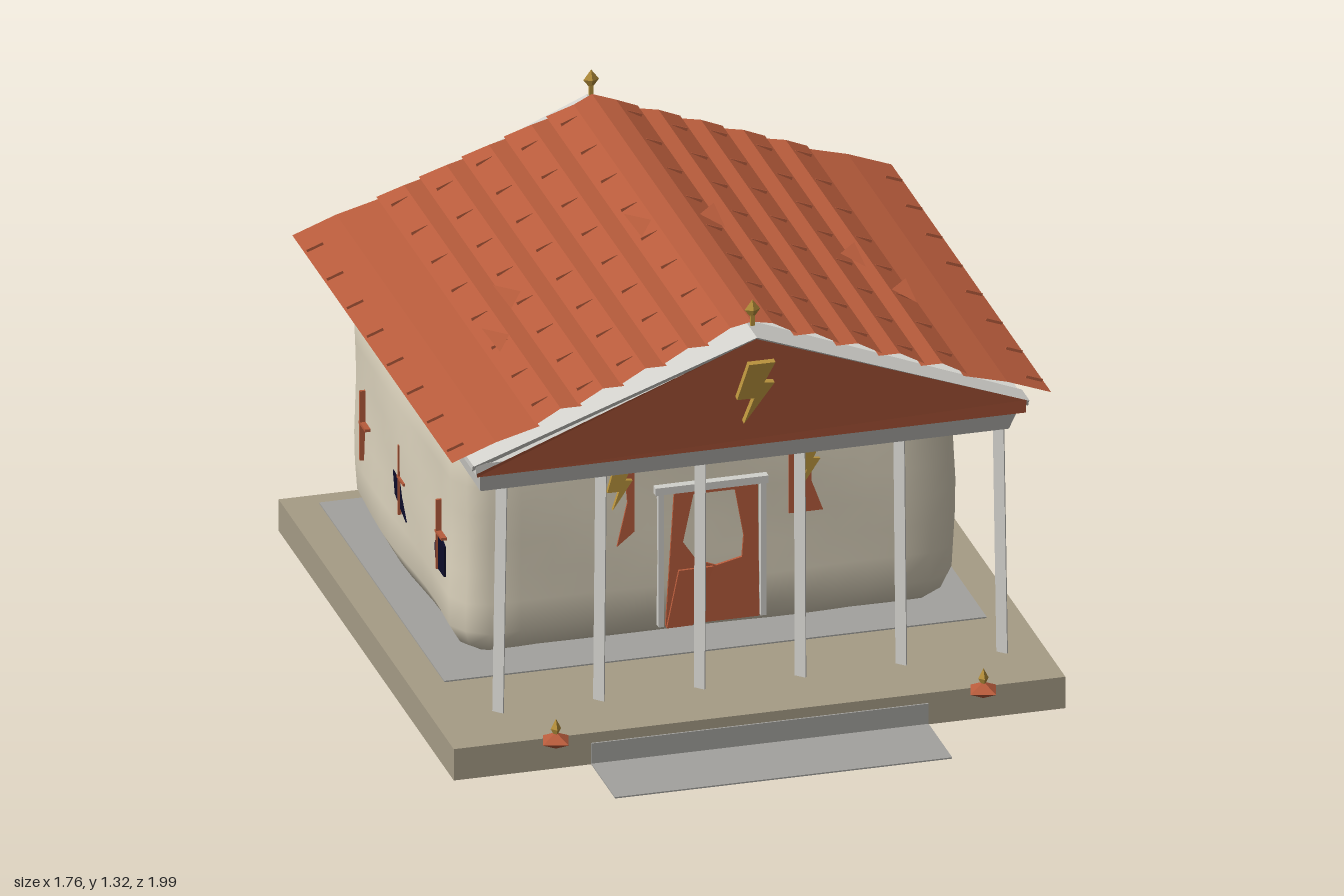
import * as THREE from 'three';
import { mergeVertices } from 'three/addons/utils/BufferGeometryUtils.js';

const mat = (name, color, double = true) => {
  const m = new THREE.MeshStandardMaterial({ color });
  m.name = name;
  if (double) m.side = THREE.DoubleSide;
  return m;
};

export function createModel() {
  const model = new THREE.Group();
  model.name = 'temple';
  const stone = mat('tan stone', 0xa69c86, false);
  const plaster = mat('cream plaster', 0xdcd3bd, false);
  const marble = mat('pale grey marble', 0xd2d1cc);
  const paving = mat('grey paving', 0xa3a29e);
  const terracotta = mat('terracotta', 0xb85c3c);
  const gold = mat('gold', 0xb8923c);
  const navy = mat('navy glass', 0x0c0c2a);
  terracotta.flatShading = gold.flatShading = marble.flatShading = true;

  const add = (name, geo, material, x = 0, y = 0, z = 0, parent = model) => {
    const m = new THREE.Mesh(geo, material);
    m.name = name;
    m.position.set(x, y, z);
    parent.add(m);
    return m;
  };
  const box = (name, material, x0, x1, y0, y1, z0, z1, parent = model) =>
    add(name, new THREE.BoxGeometry(x1 - x0, y1 - y0, z1 - z0), material,
      (x0 + x1) / 2, (y0 + y1) / 2, (z0 + z1) / 2, parent);
  // Flat outline cut from a thin plate
  const plate = (pts, depth, hole) => {
    const s = new THREE.Shape(pts.map(p => new THREE.Vector2(...p)));
    if (hole) s.holes.push(new THREE.Path(hole.map(p => new THREE.Vector2(...p))));
    return new THREE.ExtrudeGeometry(s, { depth, bevelEnabled: false });
  };
  // Convex sheet through a few 3D corners
  const sheet = (pts) => {
    const g = new THREE.BufferGeometry();
    g.setAttribute('position', new THREE.Float32BufferAttribute(pts.flat(), 3));
    const idx = [];
    for (let i = 1; i < pts.length - 1; i++) idx.push(0, i, i + 1);
    g.setIndex(idx);
    g.computeVertexNormals();
    return g;
  };

  // Platform, paving and front step
  box('platform', stone, -0.88, 0.88, 0, 0.095, -0.99, 0.76);
  box('paving', paving, -0.78, 0.78, 0.095, 0.099, -0.93, 0.32);
  box('stepTread', paving, -0.485, 0.485, 0, 0.004, 0.72, 1.0);
  box('stepRiser', paving, -0.485, 0.485, 0, 0.065, 0.76, 0.765);

  // Softly rounded, slightly uneven wall block
  const half = [0.725, 0.355, 0.57], r = 0.11;
  let walls = new THREE.BoxGeometry(1.45, 0.71, 1.14, 16, 8, 12);
  walls.deleteAttribute('uv');
  walls.deleteAttribute('normal');
  walls = mergeVertices(walls);
  const wp = walls.attributes.position;
  const v = new THREE.Vector3(), core = new THREE.Vector3();
  for (let i = 0; i < wp.count; i++) {
    v.fromBufferAttribute(wp, i);
    core.set(...v.toArray().map((c, k) => THREE.MathUtils.clamp(c, r - half[k], half[k] - r)));
    const wobble = 0.008 * Math.sin(v.x * 7 + v.y * 9) * Math.sin(v.z * 8 + v.y * 5 + 1);
    v.sub(core).normalize().multiplyScalar(r + wobble).add(core);
    wp.setXYZ(i, v.x, v.y, v.z);
  }
  walls.computeVertexNormals();
  add('walls', walls, plaster, 0, 0.465, -0.3);

  // Row of slender flat columns, turned diagonally
  for (let i = 0; i < 6; i++) {
    const x = -0.697 + i * 0.288;
    const c = add('column', new THREE.BoxGeometry(0.034, 0.69, 0.005), marble, x, 0.455, 0.585);
    c.rotation.set(0, -Math.PI / 4, (i - 2.5) * 0.006, 'ZYX');
  }

  // Entablature, its underside rising towards the back
  const beam = new THREE.BoxGeometry(1.56, 0.105, 1.55);
  const bp = beam.attributes.position;
  for (let i = 0; i < bp.count; i++) {
    if (bp.getY(i) < 0) {
      bp.setX(i, bp.getX(i) * 0.975);
      if (bp.getZ(i) < 0) bp.setY(i, bp.getY(i) + 0.03);
      else bp.setZ(i, bp.getZ(i) - 0.06);
    }
  }
  add('entablature', beam, marble, 0, 0.85, -0.105);
  box('cornice', marble, -0.79, 0.79, 0.875, 0.908, -0.9, 0.67);

  // Lightning bolt outline, unit height
  const bolt = [[-0.12, 0.5], [0.28, 0.5], [0.12, 0.17], [0.28, 0.15], [-0.16, -0.5],
    [-0.02, -0.08], [-0.28, -0.08]];
  const boltGeo = (h, depth) => {
    const g = plate(bolt, depth / h);
    g.translate(0, 0, -depth / h / 2);
    return g.scale(h, h, h);
  };

  // Outward-leaning gables with raking trim, bolt and ridge ornament
  for (const back of [0, 1]) {
    const gable = new THREE.Group();
    gable.name = back ? 'backGable' : 'frontGable';
    gable.position.z = -0.1175;
    gable.rotation.y = back * Math.PI;
    model.add(gable);
    add('pediment', sheet([[-0.79, 0.872, 0.795], [0.79, 0.872, 0.795], [0.79, 0.912, 0.8],
      [0, 1.215, 0.845], [-0.79, 0.885, 0.8]]), terracotta, 0, 0, 0, gable);
    for (const s of [-1, 1]) {
      add('rakingTrim', sheet([[s * 0.8, 0.908, 0.8], [0, 1.222, 0.852], [0, 1.222, 0.72],
        [s * 0.8, 0.908, 0.72]]), marble, 0, 0, 0, gable);
      add('rakingSoffit', sheet([[s * 0.8, 0.908, 0.8], [0, 1.222, 0.852], [0, 1.2, 0.835],
        [s * 0.8, 0.886, 0.79]]), marble, 0, 0, -0.008, gable);
    }
    add('gableBolt', boltGeo(0.19, 0.03), gold, 0, 1.05, 0.825, gable).rotation.x = 0.14;
    const orn = add('ridgeOrnament', new THREE.OctahedronGeometry(0.03), gold, 0, 1.288, 0.805, gable);
    orn.scale.set(0.75, 1, 0.45);
    box('ornamentStem', gold, -0.006, 0.006, 1.24, 1.27, 0.8, 0.81, gable);
  }

  // Roof: folded, overlapping strips running front to back on each slope
  const slopeY = (x) => 1.247 - 0.375 * x;
  const edges = [0, 0.122, 0.244, 0.366, 0.488, 0.61, 0.862];
  for (const s of [-1, 1]) {
    const side = new THREE.Group();
    side.name = s < 0 ? 'rightRoof' : 'leftRoof';
    model.add(side);
    for (let i = 0; i < 6; i++) {
      const a = edges[i], b = edges[i + 1], m = a + (b - a) * 0.5;
      const flat = i === 5;
      const prof = [[a, slopeY(a) - (i ? 0.012 : 0)], [m, slopeY(m) + (flat ? 0.002 : 0.011)],
        [b + (flat ? 0 : 0.01), slopeY(b) + (flat ? 0.002 : -0.006)]];
      for (let k = 0; k < 2; k++) {
        const [p, q] = [prof[k], prof[k + 1]];
        const zb = -0.915, notch = flat ? 0 : 0.03;
        add('roofStrip', sheet([[s * p[0], p[1], 0.68], [s * q[0], q[1], 0.68],
          [s * q[0], q[1], zb + (k ? 0 : notch)], [s * p[0], p[1], zb + (k ? notch : 0)]]),
        terracotta, 0, 0, 0, side);
      }
      // Short cross seams along each fold
      for (let j = 0; j < 8; j++) {
        const seam = add('roofSeam', new THREE.BoxGeometry(0.05, 0.014, 0.004), terracotta,
          s * (b - 0.03), slopeY(b - 0.03) + 0.003, 0.58 - j * 0.2 + (i % 2) * 0.03, side);
        seam.rotation.z = -s * 0.36;
      }
    }
    // Lifted tile fragments
    for (const [x, z] of [[0.07, -0.05], [0.46, 0.0], [0.55, 0.2]]) {
      const y = slopeY(x) + 0.015;
      add('liftedTile', sheet([[s * x, y, z - 0.03], [s * (x + 0.06), y - 0.004, z - 0.1],
        [s * (x + 0.05), y - 0.012, z + 0.05]]), terracotta, 0, 0, 0, side);
    }
  }

  // Doorway with broken upper panel
  add('door', plate([[-0.135, 0.17], [0.135, 0.17], [0.13, 0.57], [-0.11, 0.57]], 0.008,
    [[-0.055, 0.562], [0.065, 0.562], [0.09, 0.42], [0.085, 0.355], [0.01, 0.338], [-0.045, 0.36],
      [-0.085, 0.42]]), terracotta, 0, 0, 0.282);
  add('doorLeaf', plate([[-0.135, 0.17], [-0.06, 0.17], [0, 0.34], [-0.1, 0.34]], 0.008),
    terracotta, 0, 0, 0.292).rotation.y = 0.02;
  box('lintel', marble, -0.165, 0.16, 0.572, 0.594, 0.27, 0.295);
  for (const s of [-1, 1]) box('doorJamb', marble, s * 0.147 - 0.008, s * 0.147 + 0.008, 0.17, 0.575, 0.27, 0.29);

  // Torn banners with bolts
  add('rightBanner', plate([[-0.32, 0.755], [-0.225, 0.755], [-0.225, 0.47], [-0.275, 0.43],
    [-0.245, 0.56], [-0.255, 0.69]], 0.006), terracotta, 0, 0, 0.285);
  add('leftBanner', plate([[0.22, 0.755], [0.318, 0.755], [0.282, 0.65], [0.285, 0.56],
    [0.318, 0.47], [0.22, 0.47]], 0.006), terracotta, 0, 0, 0.285);
  for (const s of [-1, 1]) add('bannerBolt', boltGeo(0.13, 0.012), gold, s * 0.27, 0.612, 0.297);

  // Side windows: broken panes and crossed bars
  const panes = [
    [[0.06, 0.33], [0.14, 0.33], [0.14, 0.42], [0.1, 0.435], [0.07, 0.43], [0.045, 0.39]],
    [[-0.24, 0.33], [-0.3, 0.35], [-0.35, 0.37], [-0.37, 0.435], [-0.3, 0.435], [-0.285, 0.385]],
  ];
  for (const s of [-1, 1]) {
    for (const pts of panes) {
      const pane = add('windowPane', plate(pts.map(([z, y]) => [-z, y]), 0.006), navy, s * 0.73, 0, 0);
      pane.rotation.y = Math.PI / 2;
    }
    for (const z of [0.08, -0.3, -0.68]) {
      box('windowBar', terracotta, s * 0.728 - 0.008, s * 0.728 + 0.008, 0.33, 0.54, z - 0.004, z + 0.004);
      box('windowCrossbar', terracotta, s * 0.728 - 0.008, s * 0.728 + 0.008, 0.438, 0.446, z - 0.01, z + 0.055);
    }
  }

  // Braziers beside the step
  for (const s of [-1, 1]) {
    const bowl = add('brazierBowl', new THREE.OctahedronGeometry(0.05), terracotta, s * 0.615, 0.132, 0.86);
    bowl.scale.y = 0.5;
    bowl.rotation.y = 0.5;
    add('brazierFlame', new THREE.OctahedronGeometry(0.03), gold, s * 0.615, 0.168, 0.86).scale.set(0.5, 1, 0.5);
  }
  return model;
}
